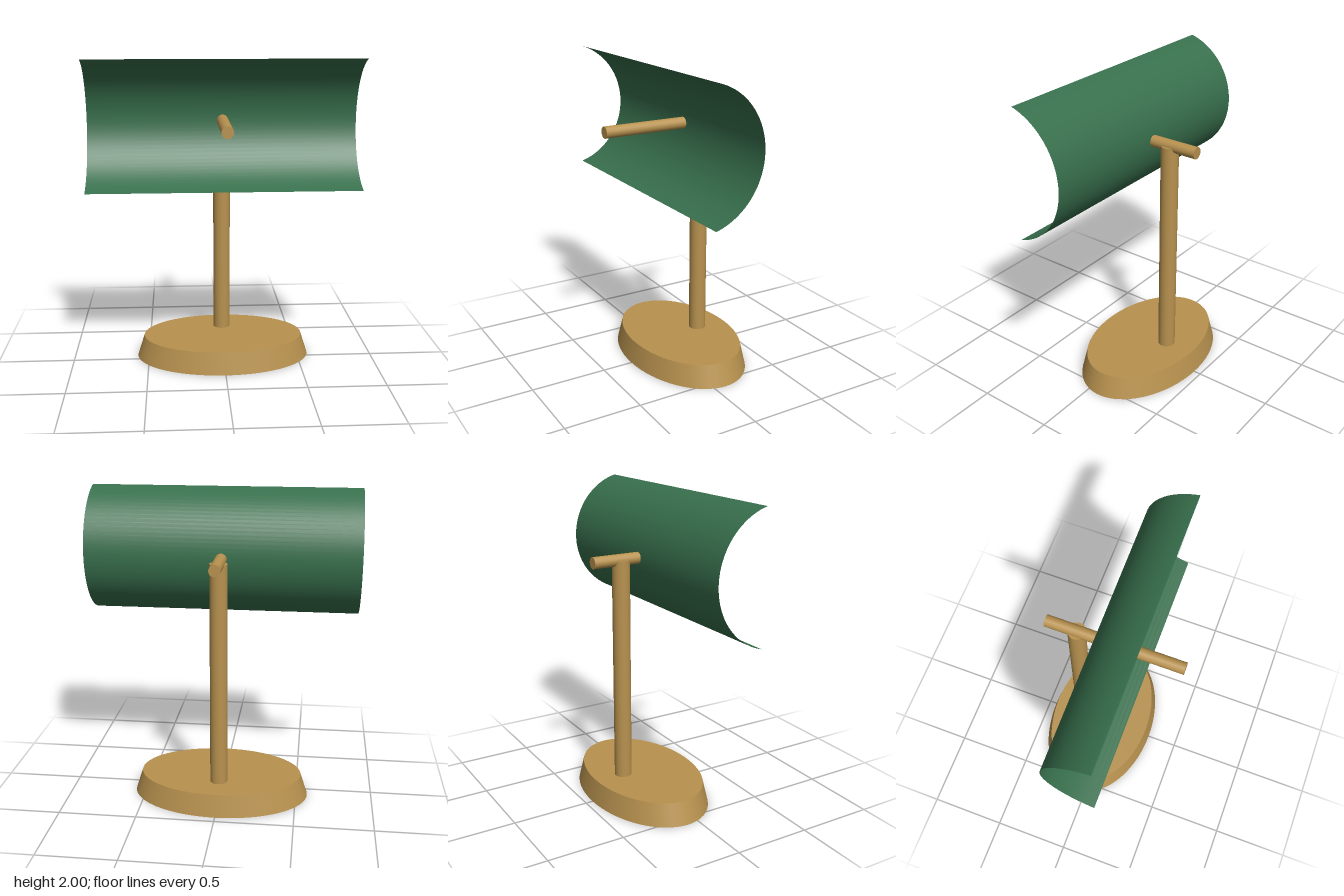
import * as THREE from 'three';

export function createModel() {
  const model = new THREE.Group();
  model.name = 'deskLamp';

  const brass = new THREE.MeshStandardMaterial({ color: 0xb8924f });
  brass.name = 'brass';
  const green = new THREE.MeshStandardMaterial({ color: 0x38704d, side: THREE.DoubleSide });
  green.name = 'shadeGreen';

  const add = (name, geometry, material, x, y, z) => {
    const mesh = new THREE.Mesh(geometry, material);
    mesh.name = name;
    mesh.position.set(x, y, z);
    model.add(mesh);
  };

  // Oval base with a tapered rim
  const baseHeight = 0.145;
  const base = new THREE.CylinderGeometry(0.53, 0.576, baseHeight, 64);
  base.scale(1, 1, 0.65);
  add('base', base, brass, 0, baseHeight / 2, -0.078);

  // Upright stem, ending at the middle of the arm
  const armY = 1.593;
  const stemHeight = armY - baseHeight;
  add('stem', new THREE.CylinderGeometry(0.056, 0.056, stemHeight, 24),
    brass, 0, baseHeight + stemHeight / 2, -0.22);

  // Horizontal arm running through the shade
  const arm = new THREE.CylinderGeometry(0.0375, 0.0375, 0.87, 16);
  arm.rotateX(Math.PI / 2);
  add('arm', arm, brass, 0, armY, 0.02);

  // Thin curved shade: a 150 degree arc, open to the front
  const radius = 0.422;
  const arc = THREE.MathUtils.degToRad(150);
  const shade = new THREE.CylinderGeometry(radius, radius, 1.734, 40, 1, true, Math.PI - arc / 2, arc);
  shade.rotateZ(Math.PI / 2);
  add('shade', shade, green, 0, armY, radius - 0.1);

  return model;
}
